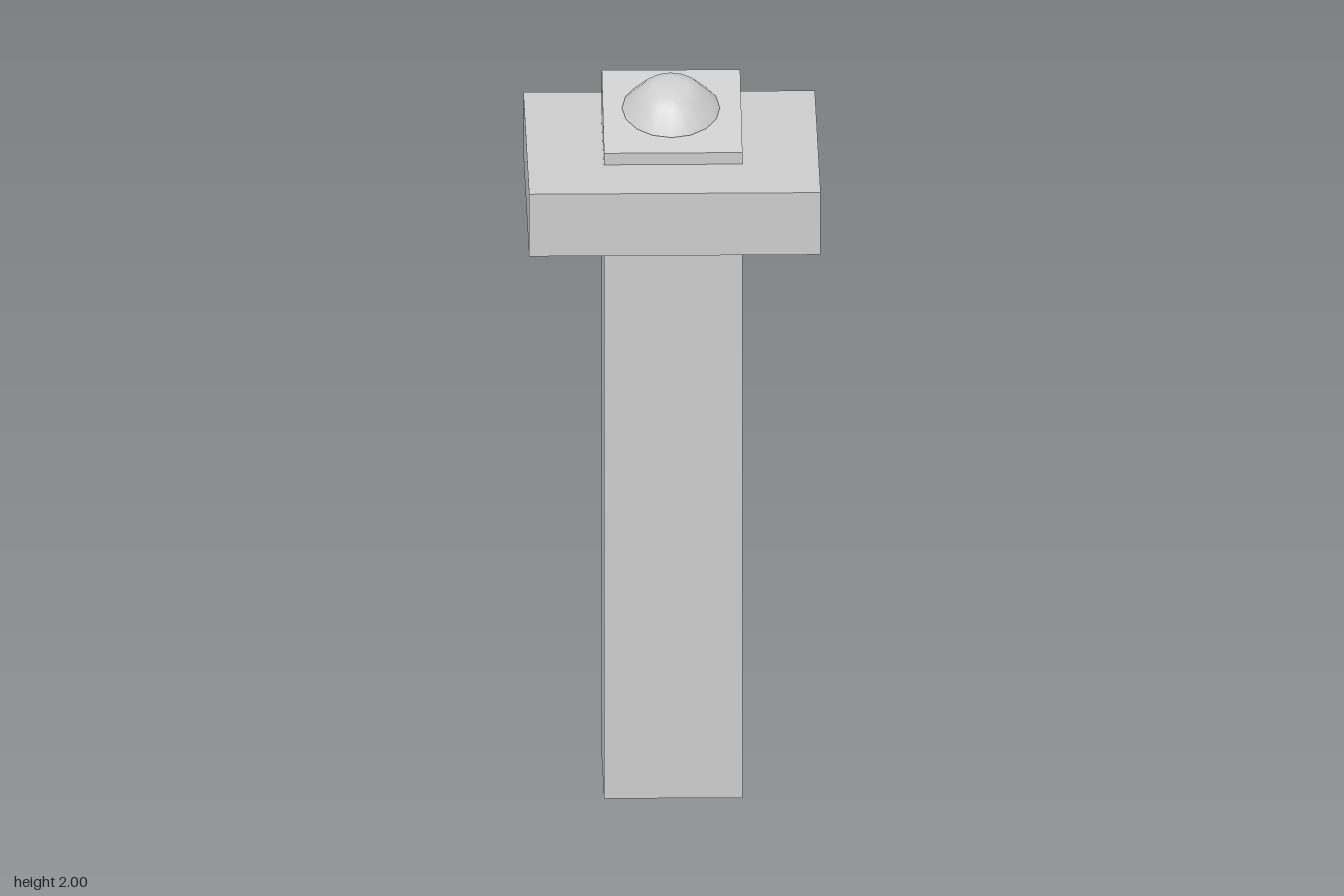
import * as THREE from 'three';

export function createModel() {
  const group = new THREE.Group();
  const grey = new THREE.MeshStandardMaterial({ color: 0xcccccc });
  grey.name = 'light grey';

  const add = (name, geometry, x = 0, y = 0, z = 0) => {
    const mesh = new THREE.Mesh(geometry, grey);
    mesh.name = name;
    mesh.position.set(x, y, z);
    group.add(mesh);
    return mesh;
  };

  // Square post and the wide slab it carries
  add('post', new THREE.BoxGeometry(0.376, 1.64, 0.376), -0.001, 0.82, -0.001);
  add('slab', new THREE.BoxGeometry(0.792, 0.178, 0.866), -0.001, 1.728, 0);

  // Sloped console: side profile (z, y) extruded across x
  const profile = new THREE.Shape([
    [0.187, 1.815], [0.187, 1.85], [-0.163, 1.97],
    [-0.176, 1.955], [-0.183, 1.92], [-0.19, 1.86], [-0.19, 1.815],
  ].map(([z, y]) => new THREE.Vector2(z, y)));
  const wedge = new THREE.ExtrudeGeometry(profile, { depth: 0.376, bevelEnabled: false });
  wedge.rotateY(-Math.PI / 2).translate(0.187, 0, 0);
  add('console', wedge);

  // Rounded push button, tilted to match the slope
  const dome = [[0.133, 0], [0.083, 0.057], [0.048, 0.071], [0, 0.076]]
    .map(([r, h]) => new THREE.Vector2(r, h));
  const button = add('button', new THREE.LatheGeometry(dome, 16), -0.004, 1.917, 0.002);
  button.rotation.x = Math.atan2(0.12, 0.35);

  return group;
}
